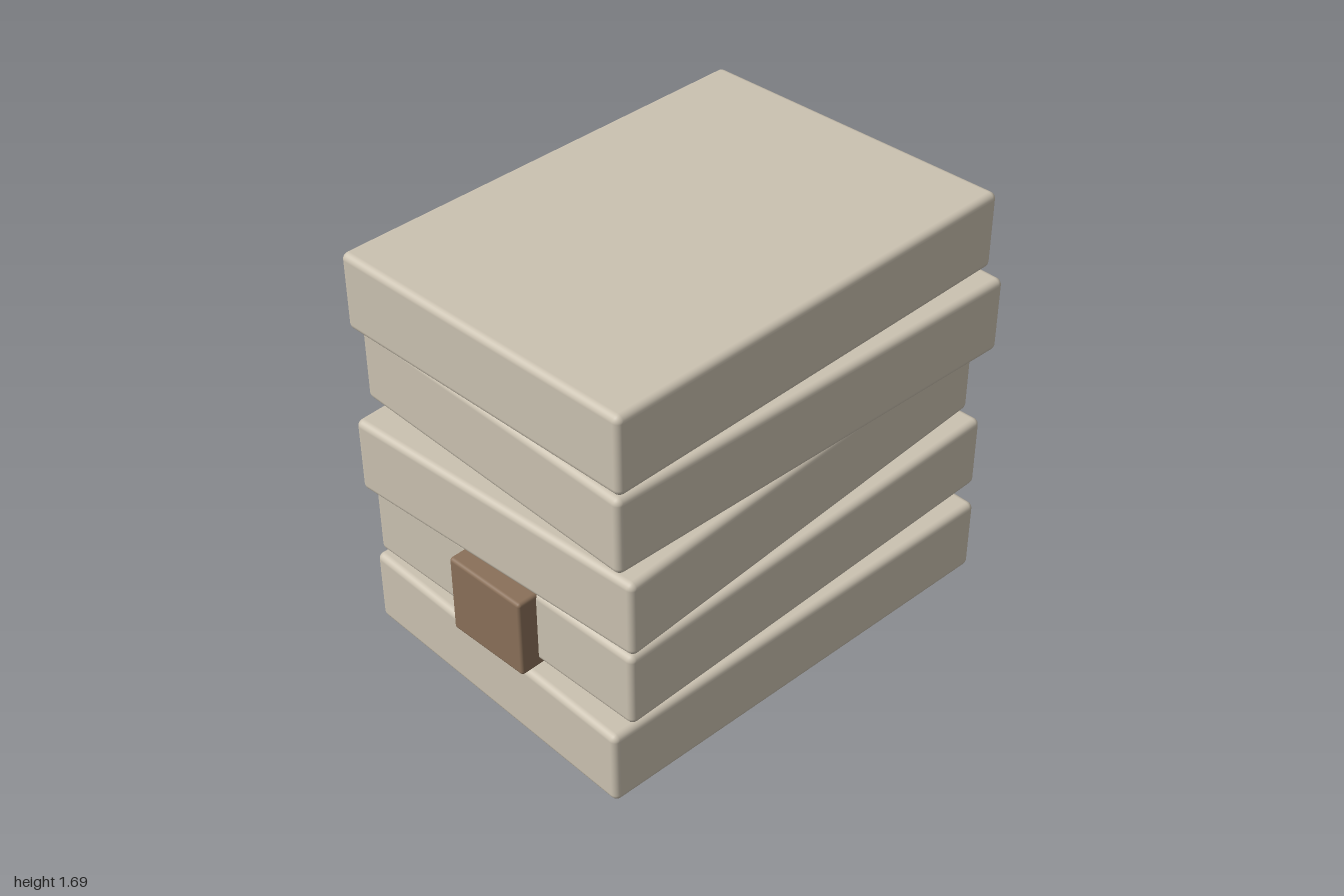
import * as THREE from 'three';
import { RoundedBoxGeometry } from 'three/addons/geometries/RoundedBoxGeometry.js';

export function createModel() {
  const model = new THREE.Group();
  const slabMaterial = new THREE.MeshStandardMaterial({ color: 0xcbc2b1 });
  const strapMaterial = new THREE.MeshStandardMaterial({ color: 0x8a7059 });

  // Five identical slabs, loosely stacked: x offset, z offset, twist
  const width = 1.89, height = 0.315, depth = 1.36, pitch = 0.3435;
  const slabGeometry = new RoundedBoxGeometry(width, height, depth, 3, 0.027);
  const layout = [
    [-0.015, 0.02, -0.042],
    [0.025, 0, 0],
    [-0.0175, -0.0175, 0.042],
    [0.0225, 0.02, -0.042],
    [-0.015, 0, 0],
  ];
  layout.forEach(([x, z, twist], i) => {
    const slab = new THREE.Mesh(slabGeometry, slabMaterial);
    slab.name = `slab${i + 1}`;
    slab.position.set(x, height / 2 + i * pitch, z);
    slab.rotation.y = twist;
    model.add(slab);
  });

  // Band running through the second slab, jutting out at one end and below
  const strap = new THREE.Mesh(new RoundedBoxGeometry(1.971, 0.335, 0.37, 3, 0.014), strapMaterial);
  strap.name = 'strap';
  strap.position.set(-0.0145, 0.4875, 0.02);
  model.add(strap);

  return model;
}
